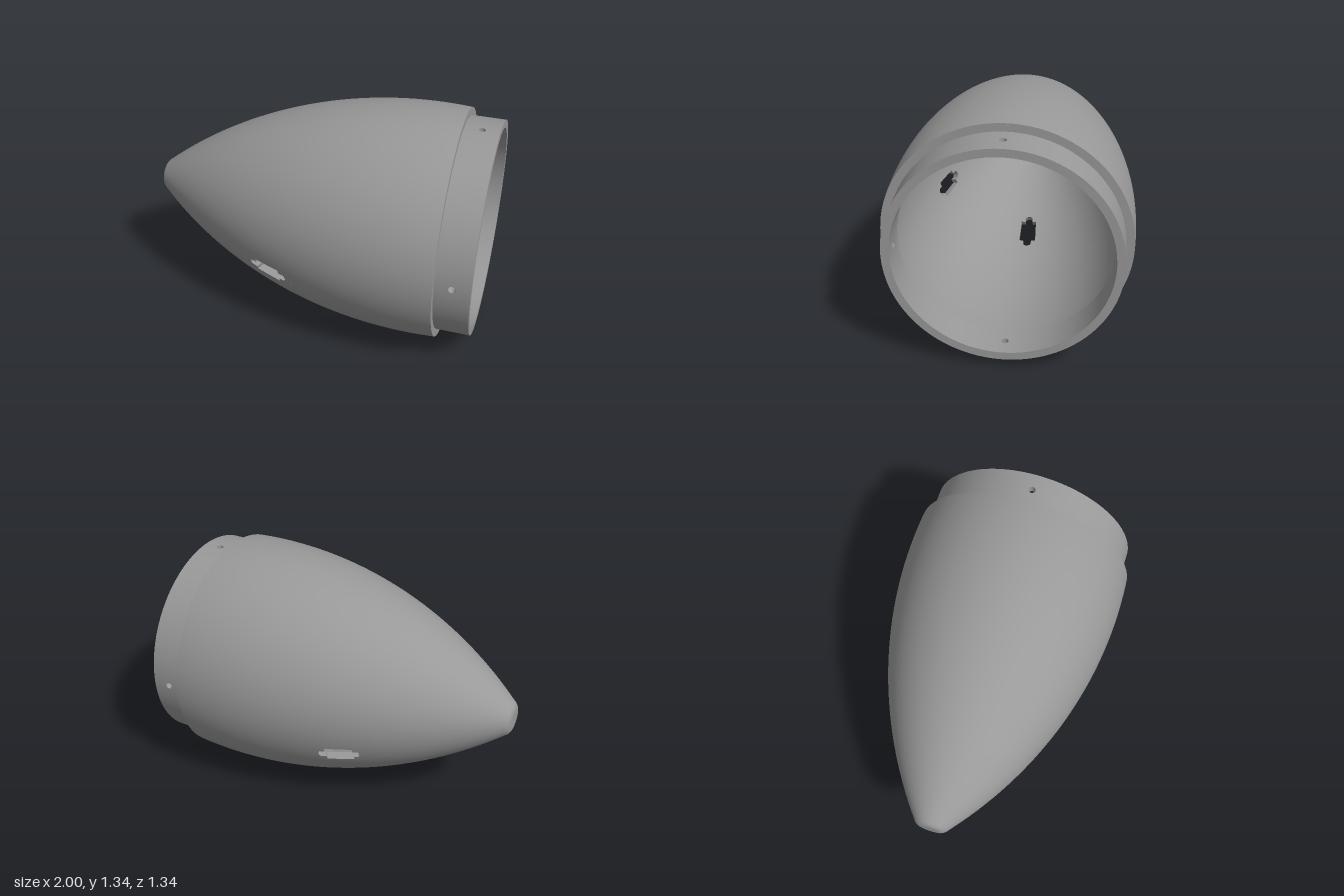
import * as THREE from 'three';
import { mergeGeometries } from 'three/addons/utils/BufferGeometryUtils.js';

const AXIS_Y = 0.672, WALL = 0.045, SHOULDER = 0.805, TIP = -0.97;
const rad = THREE.MathUtils.degToRad;

// ogive arc of the body, and the same arc inside the wall
const bodyR = x => 0.671 - (2.54 - Math.sqrt(2.54 * 2.54 - (x - 0.63) ** 2));
const innerR = x => bodyR(x) - WALL;

const point = (x, a, r) => [x, r * Math.sin(a), r * Math.cos(a)];

// even steps from a to b, with extra stops inserted
function stops(a, b, n, extra) {
  const list = [...extra];
  for (let i = 0; i <= n; i++) {
    const v = a + (b - a) * i / n;
    if (!extra.some(e => Math.abs(e - v) < 1e-5)) list.push(v);
  }
  return list.sort((p, q) => p - q);
}

// point of a hole: t = 0 on its outline, t = 1 on the rectangle around it
function holePoint(h, i, t, shift) {
  const [u, v] = h.outline[i % h.outline.length];
  const k = 1 / Math.max(Math.abs(u) / h.hu, Math.abs(v) / h.hv);
  const s = 1 + (k - 1) * t;
  return [h.x + shift + u * s, h.a + v * s / h.r];
}

// surface of revolution pierced by holes
function piercedSurface(x0, x1, nx, rFn, holes, shift, inward) {
  const pos = [], nor = [];
  const vertex = ([x, a]) => {
    const slope = (rFn(x + 1e-4) - rFn(x - 1e-4)) / 2e-4;
    const l = Math.hypot(1, slope) * (inward ? -1 : 1);
    pos.push(...point(x, a, rFn(x)));
    nor.push(-slope / l, Math.sin(a) / l, Math.cos(a) / l);
  };
  const quad = (a, b, c, d) =>
    (inward ? [a, c, b, a, d, c] : [a, b, c, a, c, d]).forEach(vertex);

  const edgesX = [...new Set(holes.flatMap(h => [h.x + shift - h.hu, h.x + shift + h.hu]))];
  const xs = stops(x0, x1, nx, edgesX);
  const as = stops(rad(-45), rad(315), 120, holes.flatMap(h => [h.a - h.hv / h.r, h.a + h.hv / h.r]));
  for (let i = 0; i < xs.length - 1; i++) {
    for (let j = 0; j < as.length - 1; j++) {
      const mx = (xs[i] + xs[i + 1]) / 2, ma = (as[j] + as[j + 1]) / 2;
      if (holes.some(h => Math.abs(mx - h.x - shift) < h.hu && Math.abs(ma - h.a) < h.hv / h.r)) continue;
      quad([xs[i], as[j]], [xs[i + 1], as[j]], [xs[i + 1], as[j + 1]], [xs[i], as[j + 1]]);
    }
  }
  // fill between each hole and its rectangle
  const rings = 4;
  for (const h of holes) {
    for (let i = 0; i < h.outline.length; i++) {
      for (let k = 0; k < rings; k++) {
        const t0 = k / rings, t1 = (k + 1) / rings;
        quad(holePoint(h, i, t0, shift), holePoint(h, i, t1, shift),
          holePoint(h, i + 1, t1, shift), holePoint(h, i + 1, t0, shift));
      }
    }
  }
  const g = new THREE.BufferGeometry();
  g.setAttribute('position', new THREE.Float32BufferAttribute(pos, 3));
  g.setAttribute('normal', new THREE.Float32BufferAttribute(nor, 3));
  return g;
}

// side walls of the holes, through the thickness of the shell
function holeWalls(holes, outR, inR, shift) {
  const pos = [];
  for (const h of holes) {
    const at = (i, rFn, s) => {
      const [x, a] = holePoint(h, i, 0, s);
      return point(x, a, rFn(x));
    };
    for (let i = 0; i < h.outline.length; i++) {
      const o0 = at(i, outR, 0), o1 = at(i + 1, outR, 0);
      const i0 = at(i, inR, shift), i1 = at(i + 1, inR, shift);
      pos.push(...o0, ...o1, ...i0, ...o1, ...i1, ...i0);
    }
  }
  const g = new THREE.BufferGeometry();
  g.setAttribute('position', new THREE.Float32BufferAttribute(pos, 3));
  g.computeVertexNormals();
  return g;
}

// plain turned strip from [x, radius] pairs
function turned(pairs) {
  const g = new THREE.LatheGeometry(pairs.map(([x, r]) => new THREE.Vector2(r, x)), 120);
  return g.rotateZ(-Math.PI / 2);
}

// slot outline: wide middle with narrow rounded ends, mirrored from one quarter
function slotOutline() {
  const q = [[0.115, 0], [0.114, 0.012], [0.104, 0.025], [0.075, 0.025], [0.075, 0.052], [0, 0.052]];
  const flip = (list, su, sv) => list.map(([u, v]) => [u * su, v * sv]);
  const back = [...q].reverse();
  const corners = [...q.slice(0, -1), ...flip(back, -1, 1).slice(0, -1),
    ...flip(q, -1, -1).slice(0, -1), ...flip(back, 1, -1).slice(0, -1)];
  const out = [];
  corners.forEach(([u, v], i) => {
    const [u1, v1] = corners[(i + 1) % corners.length];
    for (let k = 0; k < 4; k++) out.push([u + (u1 - u) * k / 4, v + (v1 - v) * k / 4]);
  });
  return out;
}

export function createModel() {
  const model = new THREE.Group();
  model.name = 'noseCone';
  const grey = new THREE.MeshStandardMaterial({ color: 0x999999, side: THREE.DoubleSide });
  grey.name = 'grey';
  const add = (name, geometry) => {
    const mesh = new THREE.Mesh(geometry, grey);
    mesh.name = name;
    mesh.position.y = AXIS_Y;
    model.add(mesh);
  };

  // three slots around the lower half of the body
  const slot = slotOutline();
  const slots = [-21.5, 201.5, 267].map(d =>
    ({ x: -0.165, a: rad(d), r: 0.543, hu: 0.15, hv: 0.104, outline: slot }));
  // four round screw holes in the collar
  const circle = Array.from({ length: 24 }, (_, i) =>
    [0.02 * Math.cos(i * Math.PI / 12), 0.02 * Math.sin(i * Math.PI / 12)]);
  const screws = [0, 90, 180, 270].map(d =>
    ({ x: 0.9, a: rad(d), r: 0.62, hu: 0.04, hv: 0.04, outline: circle }));

  // body shell
  const slant = 0.025, innerTip = -0.95, lip = 0.755;
  add('bodyOuter', piercedSurface(TIP, SHOULDER, 44, bodyR, slots, 0, false));
  add('bodyInner', piercedSurface(innerTip, lip, 44, innerR, slots, slant, true));
  add('slotWalls', holeWalls(slots, bodyR, innerR, slant));

  // rounded blunt tip, and the flat end inside it
  add('tip', mergeGeometries([
    turned([[-1, 0], [-1, 0.055]]),
    turned([[-1, 0.055], [-0.998, 0.07], [-0.992, 0.083], [-0.982, 0.095], [TIP, bodyR(TIP)]]),
  ]));
  add('innerTip', turned([[innerTip, innerR(innerTip)], [innerTip, 0]]));

  // stepped collar at the open end
  const collarR = () => 0.62, boreR = () => 0.575;
  add('collarOuter', piercedSurface(SHOULDER, 1, 2, collarR, screws, 0, false));
  add('collarBore', piercedSurface(SHOULDER, 1, 2, boreR, screws, 0, true));
  add('screwHoleWalls', holeWalls(screws, collarR, boreR, 0));
  add('shoulder', turned([[SHOULDER, bodyR(SHOULDER)], [SHOULDER, 0.62]]));
  add('rim', turned([[1, 0.62], [1, 0.575]]));
  add('innerLip', turned([[SHOULDER, 0.575], [lip, innerR(lip)]]));
  return model;
}
